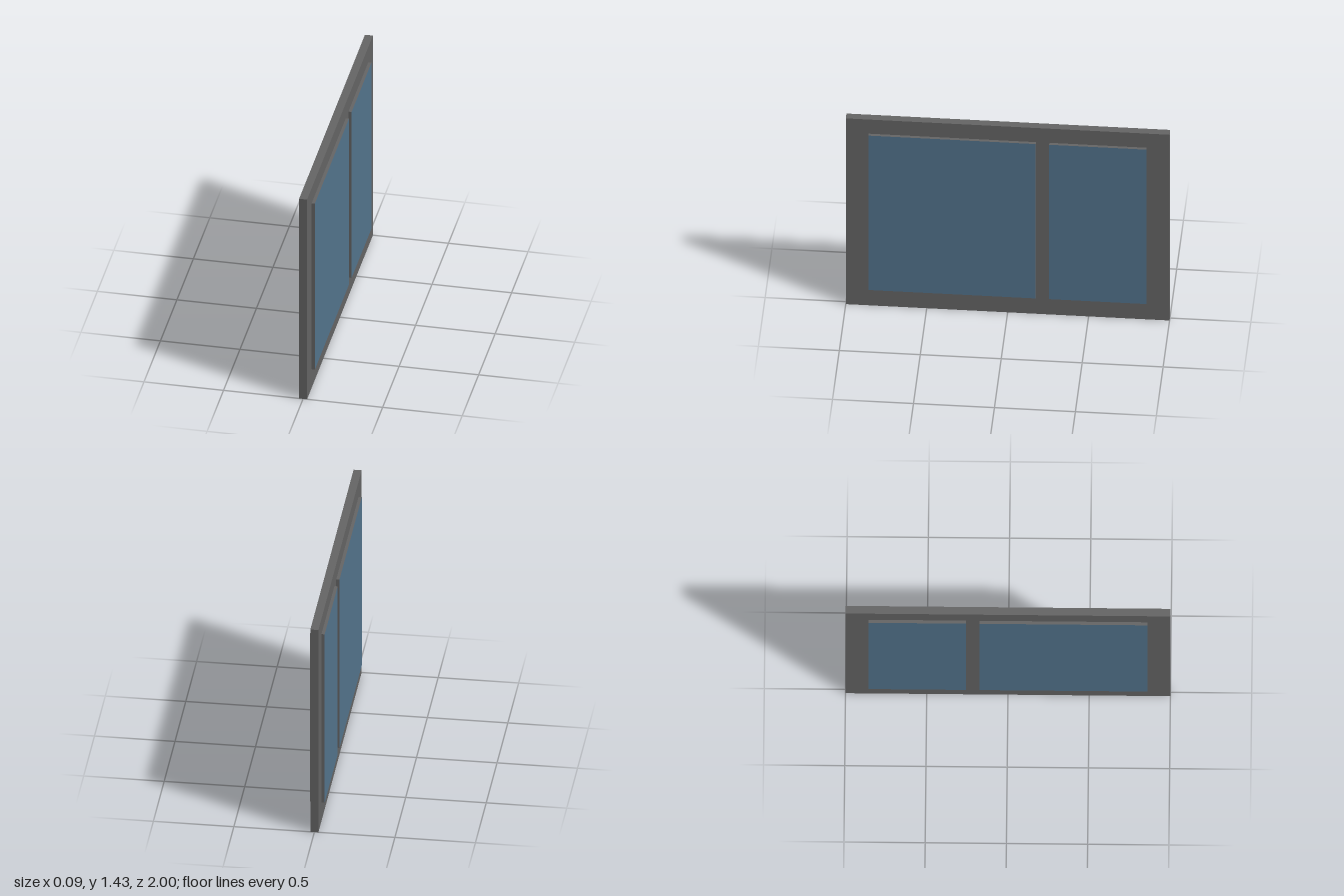
import * as THREE from 'three';

const HEIGHT = 1.434, FRAME_DEPTH = 0.05, PANE_DEPTH = 0.09;
const SILL = 0.133, HEAD = 1.325;
// z extents of the wide and the narrow pane
const PANES = [
  { name: 'widePane', z0: -0.175, z1: 0.859 },
  { name: 'narrowPane', z0: -0.859, z1: -0.258 },
];

export function createModel() {
  const frameGrey = new THREE.MeshStandardMaterial({ name: 'frameGrey', color: 0x666666 });
  const glassBlue = new THREE.MeshStandardMaterial({ name: 'glassBlue', color: 0x54758e });
  const model = new THREE.Group();
  model.name = 'window';

  // Outer frame with an opening for each pane, drawn in the z-y plane
  const rect = (path, x0, y0, x1, y1) =>
    path.moveTo(x0, y0).lineTo(x1, y0).lineTo(x1, y1).lineTo(x0, y1).closePath();
  const outline = rect(new THREE.Shape(), -1, 0, 1, HEIGHT);
  for (const { z0, z1 } of PANES) outline.holes.push(rect(new THREE.Path(), -z1, SILL, -z0, HEAD));
  const frameGeometry = new THREE.ExtrudeGeometry(outline, { depth: FRAME_DEPTH, bevelEnabled: false });
  frameGeometry.translate(0, 0, -FRAME_DEPTH / 2).rotateY(Math.PI / 2);
  const frame = new THREE.Mesh(frameGeometry, frameGrey);
  frame.name = 'frame';
  model.add(frame);

  // Raised panes: blue glass on both broad faces, grey edges
  const faces = [glassBlue, glassBlue, frameGrey, frameGrey, frameGrey, frameGrey];
  for (const { name, z0, z1 } of PANES) {
    const pane = new THREE.Mesh(new THREE.BoxGeometry(PANE_DEPTH, HEAD - SILL, z1 - z0), faces);
    pane.position.set(0, (SILL + HEAD) / 2, (z0 + z1) / 2);
    pane.name = name;
    model.add(pane);
  }
  return model;
}
